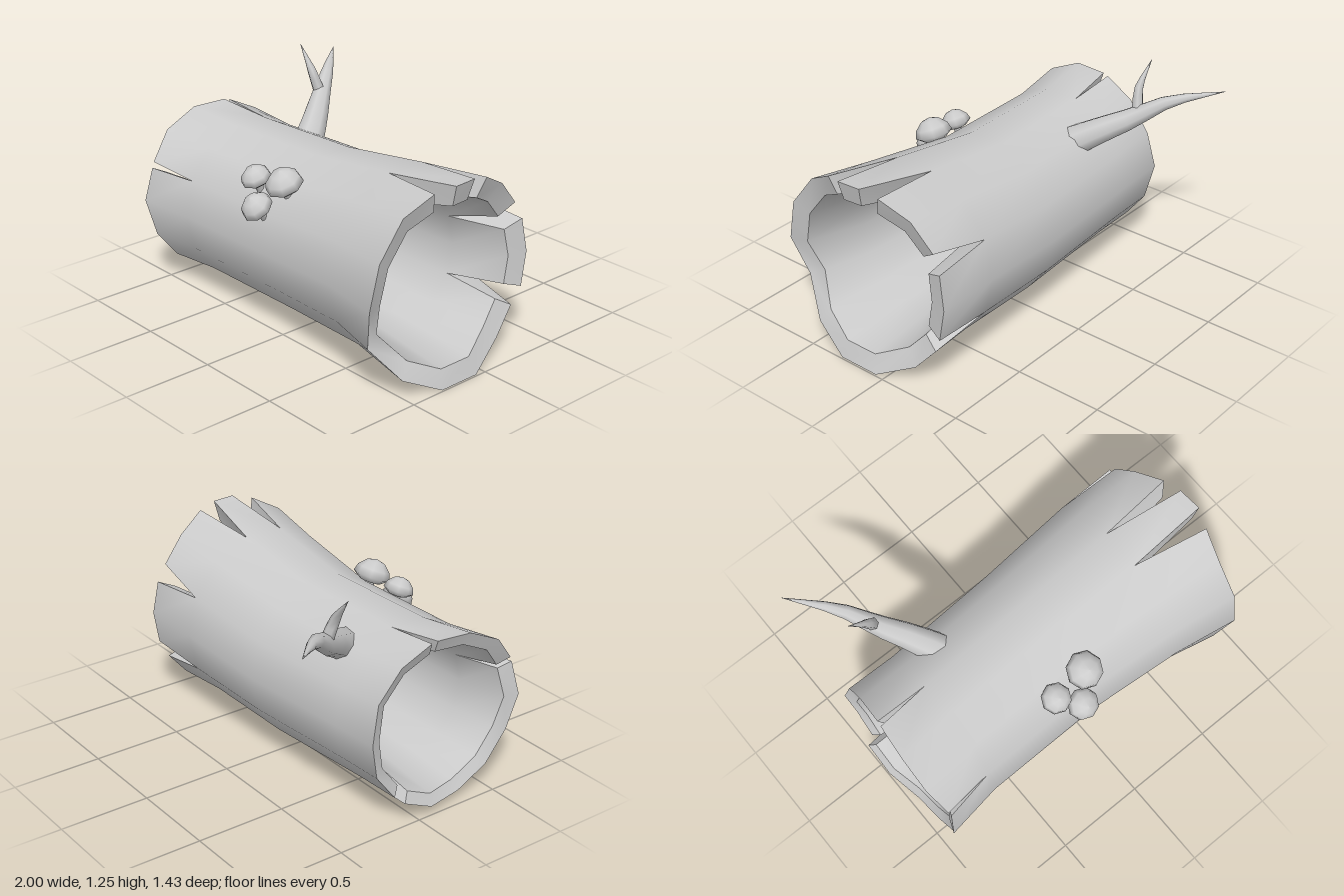
import * as THREE from 'three';
import { toCreasedNormals } from 'three/addons/utils/BufferGeometryUtils.js';

const SIDES = 14;
const material = new THREE.MeshStandardMaterial({ color: 0xcccccc, side: THREE.DoubleSide });

// Rings along the log: outer [cx, cy, cz, ry, rz], inner [cy, cz, r]
const RINGS = [
  { x: -0.97, out: [0.51, 0.185, 0.472, 0.475], inn: [0.505, 0.18, 0.405] },
  { x: -0.67, out: [0.495, 0.16, 0.456, 0.45], inn: [0.5, 0.172, 0.36] },
  { x: 0, out: [0.49, 0.135, 0.466, 0.465], inn: [0.5, 0.172, 0.345] },
  { x: 0.55, out: [0.535, 0.145, 0.497, 0.51], inn: [0.505, 0.172, 0.375] },
  { x: 0.95, out: [0.535, 0.175, 0.549, 0.54], inn: [0.53, 0.18, 0.44] },
];
const LAST = RINGS.length - 1;

// Ragged ends: how far each of the columns reaches; a pair marks a split
const ENDS = {
  0: {
    gap: 0.035,
    x: [-0.985, [-0.96, -0.965], -1, -1, [-0.98, -0.975], -0.96, -0.95, -0.97, -0.95,
      [-0.95, -1], -1, -0.96, -0.955, -0.955],
  },
  [LAST]: {
    gap: 0.1,
    x: [0.91, 0.92, 0.92, [0.96, 1], [0.99, 0.97], 0.92, [0.9, 0.91], 0.92, [0.92, 0.9],
      0.92, 0.99, 0.99, 0.93, 0.84],
  },
};
const isSplit = (ring, k) => ENDS[ring] !== undefined && Array.isArray(ENDS[ring].x[k % SIDES]);

// Point on the log; side +1 starts a plank, -1 finishes one
function logPoint(ring, k, side, inner) {
  const r = RINGS[ring];
  let angle = (k / SIDES) * Math.PI * 2;
  let x = r.x;
  const end = ENDS[ring];
  if (end) {
    const reach = end.x[k % SIDES];
    x = Array.isArray(reach) ? reach[side > 0 ? 1 : 0] : reach;
    if (Array.isArray(reach)) angle += side * end.gap;
    if (inner) x -= Math.sign(x) * 0.03;
  }
  const [cy, cz, ry, rz = ry] = inner ? r.inn : r.out;
  return [x, cy + Math.sin(angle) * ry, cz + Math.cos(angle) * rz];
}

function makeLog() {
  const pos = [];
  const quad = (a, b, c, d) => pos.push(...a, ...b, ...c, ...a, ...c, ...d);
  for (let k = 0; k < SIDES; k++) {
    const p = (ring, far, inner) => logPoint(ring, k + far, far ? -1 : 1, inner);
    // Bark and hollow
    for (let i = 0; i < LAST; i++) {
      quad(p(i, 0, false), p(i + 1, 0, false), p(i + 1, 1, false), p(i, 1, false));
      quad(p(i, 1, true), p(i + 1, 1, true), p(i + 1, 0, true), p(i, 0, true));
    }
    // Rims
    quad(p(LAST, 0, true), p(LAST, 1, true), p(LAST, 1, false), p(LAST, 0, false));
    quad(p(0, 0, false), p(0, 1, false), p(0, 1, true), p(0, 0, true));
    // Walls of the splits
    for (const [end, a] of [[0, 0], [LAST, LAST - 1]]) {
      for (const far of [0, 1]) {
        if (!isSplit(end, k + far)) continue;
        const w = [p(a, far, false), p(a, far, true), p(a + 1, far, true), p(a + 1, far, false)];
        quad(...(far ? w.reverse() : w));
      }
    }
  }
  const geo = new THREE.BufferGeometry();
  geo.setAttribute('position', new THREE.Float32BufferAttribute(pos, 3));
  return toCreasedNormals(geo, 0.9);
}

// Tube whose rings shrink along the path; each point is [x, y, z, radius]
function taperedTube(points, segments, sides) {
  const curve = new THREE.CatmullRomCurve3(points.map(([x, y, z]) => new THREE.Vector3(x, y, z)));
  const geo = new THREE.TubeGeometry(curve, segments, 1, sides);
  const pos = geo.attributes.position;
  const v = new THREE.Vector3();
  for (let i = 0; i < pos.count; i++) {
    const u = Math.floor(i / (sides + 1)) / segments;
    const t = curve.getUtoTmapping(u) * (points.length - 1);
    const j = Math.min(Math.floor(t), points.length - 2);
    const radius = THREE.MathUtils.lerp(points[j][3], points[j + 1][3], t - j);
    const centre = curve.getPointAt(u);
    v.fromBufferAttribute(pos, i).sub(centre).multiplyScalar(radius).add(centre);
    pos.setXYZ(i, v.x, v.y, v.z);
  }
  return geo;
}

// Domed cap on a short stem, rim radius 1 at y = 0
function makeMushroom() {
  const profile = [[0.3, -1.6], [0.28, -0.35], [0.6, -0.3], [1, 0], [0.88, 0.4], [0.5, 0.78], [0, 0.92]];
  return new THREE.LatheGeometry(profile.map(([x, y]) => new THREE.Vector2(x, y)), 8);
}

export function createModel() {
  const model = new THREE.Group();
  const add = (name, geometry, parent = model) => {
    const mesh = new THREE.Mesh(geometry, material);
    mesh.name = name;
    parent.add(mesh);
    return mesh;
  };

  add('hollowLog', makeLog());

  // Dead branch with a side twig
  const branch = new THREE.Group();
  branch.name = 'branch';
  model.add(branch);
  add('mainBranch', taperedTube([
    [-0.46, 0.8, -0.07, 0.09], [-0.55, 0.88, -0.2, 0.075], [-0.66, 0.96, -0.34, 0.058],
    [-0.77, 1.06, -0.49, 0.036], [-0.97, 1.115, -0.715, 0.001],
  ], 8, 8), branch);
  add('twig', taperedTube([
    [-0.67, 0.96, -0.36, 0.035], [-0.69, 1.03, -0.345, 0.033],
    [-0.715, 1.11, -0.33, 0.027], [-0.82, 1.245, -0.335, 0.001],
  ], 6, 6), branch);

  // Cluster of mushrooms: x, y, z, cap radius, forward tilt
  const cluster = new THREE.Group();
  cluster.name = 'mushrooms';
  model.add(cluster);
  const mushroom = makeMushroom();
  for (const [x, y, z, size, tilt] of [
    [-0.18, 0.84, 0.51, 0.083, 0.4],
    [0.025, 0.86, 0.49, 0.102, 0.4],
    [-0.07, 0.735, 0.595, 0.088, 0.65],
  ]) {
    const mesh = add('mushroom', mushroom, cluster);
    mesh.position.set(x, y, z);
    mesh.rotation.x = tilt;
    mesh.scale.setScalar(size);
  }
  return model;
}
